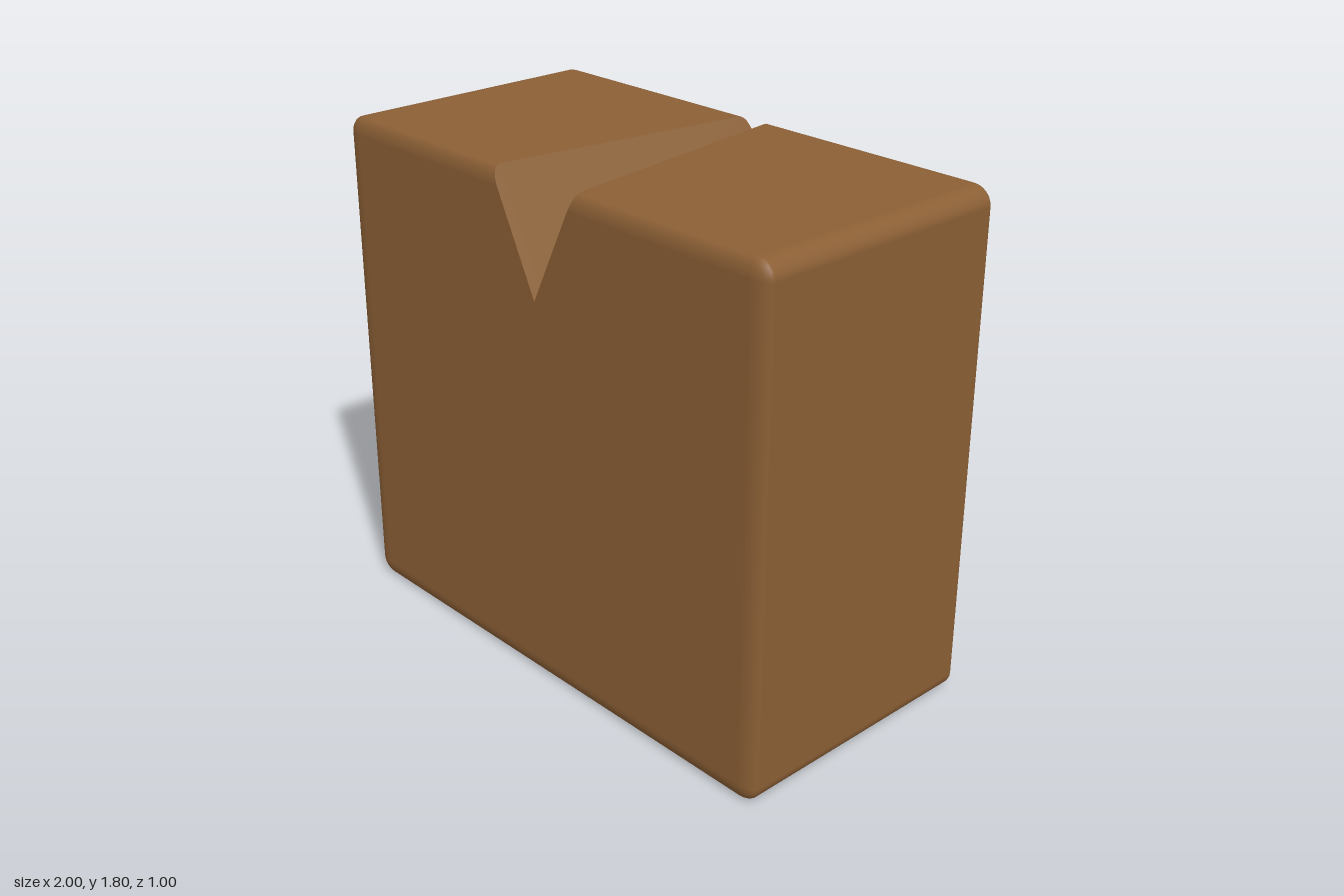
import * as THREE from 'three';

const W = 1, H = 0.9, D = 0.5;              // half sizes of the block
const RX = 0.07, RY = 0.063, RZ = 0.035;    // edge rounding along each axis
const SEG = 6;

// Height of the V groove's floor line: low at the front, high at the back
const grooveFloor = (z) => 1.545 - 0.29 * z;

// One cross-section at rounding angle a: skin runs clockwise from the groove's
// right lip to its left lip, groove runs from left lip to floor to right lip.
function section(a, side) {
  const c = Math.cos(a), s = Math.sin(a) * side;
  const z = side * (D - RZ) + RZ * s;
  const top = H + (H - RY) + RY * c;
  const lip = 0.5 * (top - grooveFloor(z));
  const right = [];
  const add = (x, y, nx, ny) => right.push({
    p: new THREE.Vector3(x, y, z),
    n: new THREE.Vector3(nx * c / RX, ny * c / RY, s / RZ).normalize(),
  });
  add(lip, top, 0, 1);
  for (const up of [1, -1]) {
    for (let i = 0; i <= SEG; i++) {
      const t = (up > 0 ? 1 - i / SEG : -i / SEG) * Math.PI / 2;
      const ct = Math.cos(t), st = Math.sin(t);
      add(W - RX + RX * c * ct, H + up * (H - RY) + RY * c * st, ct, st);
    }
  }
  const flip = (v) => new THREE.Vector3(-v.x, v.y, v.z);
  const left = right.map(({ p, n }) => ({ p: flip(p), n: flip(n) })).reverse();
  const groove = [new THREE.Vector3(-lip, top, z), new THREE.Vector3(0, grooveFloor(z), z),
    new THREE.Vector3(lip, top, z)].map((p) => ({ p, n: new THREE.Vector3(0, 1, 0) }));
  return { skin: [...right, ...left], groove };
}

// Surface through a row of equal-length cross-sections
function loft(rings) {
  const m = rings[0].length, index = [];
  for (let j = 0; j < rings.length - 1; j++) {
    for (let k = 0; k < m - 1; k++) {
      const a = j * m + k, b = a + 1, c = a + m, d = c + 1;
      index.push(a, b, c, b, d, c);
    }
  }
  const all = rings.flat();
  const g = new THREE.BufferGeometry();
  g.setAttribute('position', new THREE.Float32BufferAttribute(all.flatMap((v) => v.p.toArray()), 3));
  g.setAttribute('normal', new THREE.Float32BufferAttribute(all.flatMap((v) => v.n.toArray()), 3));
  g.setIndex(index);
  return g;
}

// Flat end face with the V notch cut from its top edge
function endFace(z) {
  const x = W - RX, top = 2 * H - RY, floor = grooveFloor(z);
  const lip = 0.5 * (top - floor);
  const shape = new THREE.Shape([[-x, RY], [x, RY], [x, top], [lip, top], [0, floor], [-lip, top], [-x, top]]
    .map(([px, py]) => new THREE.Vector2(px, py)));
  const g = new THREE.ShapeGeometry(shape);
  if (z < 0) g.rotateY(Math.PI);
  return g.translate(0, 0, z);
}

export function createModel() {
  const group = new THREE.Group();
  group.name = 'notchedBlock';
  const material = new THREE.MeshStandardMaterial({ color: 0x8b5f35 });
  const add = (name, geometry) => {
    const mesh = new THREE.Mesh(geometry, material);
    mesh.name = name;
    group.add(mesh);
  };

  // Sections from the front edge rounding to the back edge rounding
  const sections = [];
  for (let i = 0; i <= SEG; i++) sections.push(section((1 - i / SEG) * Math.PI / 2, 1));
  for (let i = 0; i <= SEG; i++) sections.push(section((i / SEG) * Math.PI / 2, -1));

  add('blockSides', loft(sections.map((s) => s.skin)));

  // Flat-sided groove
  const groove = loft(sections.map((s) => s.groove)).toNonIndexed();
  groove.computeVertexNormals();
  add('groove', groove);

  add('frontFace', endFace(D));
  add('backFace', endFace(-D));
  return group;
}
